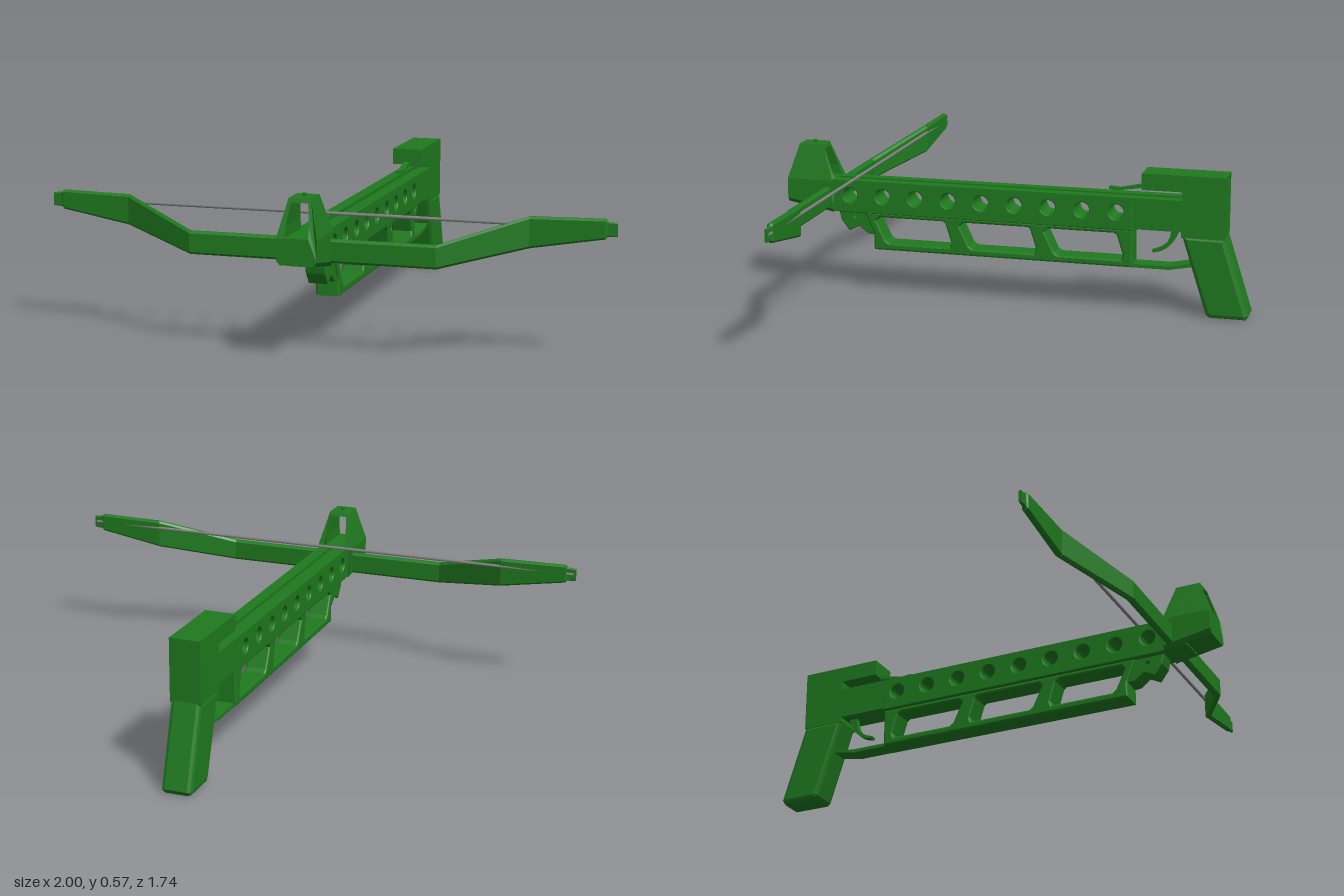
import * as THREE from 'three';

const green = new THREE.MeshStandardMaterial({ color: 0x1f7a1f, flatShading: true, side: THREE.DoubleSide });
const grey = new THREE.MeshStandardMaterial({ color: 0x808080 });

const toShape = (pts) => new THREE.Shape(pts.map(([a, b]) => new THREE.Vector2(a, b)));

// Side profile in (z, y), extruded across x and centred on x = offset
function sideGeo(shape, width, bevel = 0, offset = 0) {
  const g = new THREE.ExtrudeGeometry(shape, {
    depth: width - 2 * bevel, bevelEnabled: bevel > 0, bevelThickness: bevel,
    bevelSize: bevel, bevelOffset: -bevel, bevelSegments: 2, curveSegments: 12,
  });
  g.translate(0, 0, -(width - 2 * bevel) / 2);
  g.rotateY(-Math.PI / 2);
  return g.translate(offset, 0, 0);
}

export function createModel() {
  const model = new THREE.Group();
  const add = (name, geo, mat = green) => {
    const mesh = new THREE.Mesh(geo, mat);
    mesh.name = name;
    model.add(mesh);
    return mesh;
  };
  const side = (name, pts, width, bevel, offset) => add(name, sideGeo(toShape(pts), width, bevel, offset));

  // Upper beam with a row of round lightening holes
  const beam = toShape([[0.78, 0.32], [0.78, 0.42], [-0.44, 0.42], [-0.44, 0.31], [0.66, 0.31]]);
  for (let i = 0; i < 9; i++) {
    const hole = new THREE.Path();
    hole.absarc(0.632 - i * 0.1265, 0.377, 0.028, 0, Math.PI * 2, true);
    beam.holes.push(hole);
  }
  add('upperBeam', sideGeo(beam, 0.11, 0.004));

  // Twin rails leaving the bolt groove between them
  for (const s of [-1, 1]) {
    side('grooveRail', [[0.78, 0.415], [0.78, 0.433], [-0.62, 0.433], [-0.62, 0.415]], 0.043, 0, s * 0.0335);
  }

  // Lower frame with slanted windows
  const frame = toShape([[0.545, 0.17], [0.545, 0.232], [0.58, 0.312], [-0.44, 0.312], [-0.44, 0.17]]);
  for (let i = 0; i < 3; i++) {
    const z = 0.535 - i * 0.324;
    frame.holes.push(new THREE.Path([
      [z, 0.282], [z - 0.012, 0.295], [z - 0.258, 0.295], [z - 0.268, 0.288], [z - 0.291, 0.215],
      [z - 0.285, 0.197], [z - 0.05, 0.197], [z - 0.035, 0.208],
    ].map(([a, b]) => new THREE.Vector2(a, b))));
  }
  add('lowerFrame', sideGeo(frame, 0.085, 0.007));

  // Pivot bracket under the beam nose
  const bracket = toShape([[0.685, 0.315], [0.675, 0.275], [0.645, 0.235], [0.605, 0.255],
    [0.57, 0.228], [0.54, 0.225], [0.54, 0.315]]);
  const pin = new THREE.Path();
  pin.absarc(0.622, 0.29, 0.012, 0, Math.PI * 2, true);
  bracket.holes.push(pin);
  add('frontBracket', sideGeo(bracket, 0.07, 0.004));

  // Receiver, rear housing with overhanging top, and latch
  side('receiver', [[-0.44, 0.318], [-0.44, 0.42], [-0.63, 0.42], [-0.63, 0.318]], 0.108);
  side('rearHousing', [[-0.473, 0.465], [-0.473, 0.525], [-0.777, 0.525], [-0.777, 0.298],
    [-0.62, 0.298], [-0.62, 0.465]], 0.112);
  side('latch', [[-0.345, 0.46], [-0.345, 0.451], [-0.385, 0.449], [-0.48, 0.464], [-0.5, 0.475],
    [-0.47, 0.475], [-0.385, 0.457]], 0.024);

  // Raked grip
  side('grip', [[-0.62, 0.305], [-0.777, 0.305], [-0.868, 0.02], [-0.858, 0.004],
    [-0.725, 0.004], [-0.712, 0.016]], 0.112, 0.016);

  // Curved trigger and guard strip
  const trigger = new THREE.Shape();
  trigger.moveTo(-0.575, 0.325);
  trigger.quadraticCurveTo(-0.58, 0.25, -0.507, 0.234);
  trigger.lineTo(-0.51, 0.225);
  trigger.quadraticCurveTo(-0.585, 0.235, -0.607, 0.325);
  add('trigger', sideGeo(trigger, 0.026));
  side('triggerGuard', [[-0.43, 0.17], [-0.575, 0.17], [-0.675, 0.19], [-0.675, 0.204],
    [-0.575, 0.182], [-0.43, 0.182]], 0.07);

  // Front head: open gate profile, tapered front and back by height
  const gate = toShape([[-0.058, 0.32], [0.058, 0.32], [0.07, 0.335], [0.07, 0.43], [0.06, 0.47],
    [0.038, 0.56], [-0.038, 0.56], [-0.06, 0.47], [-0.07, 0.43], [-0.07, 0.335]]);
  gate.holes.push(new THREE.Path([[-0.04, 0.433], [-0.04, 0.47], [-0.03, 0.545], [0.03, 0.545],
    [0.04, 0.47], [0.04, 0.433]].map(([a, b]) => new THREE.Vector2(a, b))));
  const head = new THREE.ExtrudeGeometry(gate, { depth: 1, bevelEnabled: false });
  const p = head.attributes.position;
  for (let i = 0; i < p.count; i++) {
    const y = p.getY(i), front = p.getZ(i) > 0.5;
    const t = Math.max(0, (y - 0.43) / 0.13);
    p.setZ(i, front ? 0.872 - 0.04 * t : 0.695 + 0.047 * t);
    if (y < 0.4) p.setY(i, y + (front ? 0.022 : -0.01));
  }
  head.computeVertexNormals();
  add('frontHead', head);
  add('sightPost', new THREE.BoxGeometry(0.012, 0.02, 0.014)).position.set(0, 0.56, 0.785);

  // Recurved bow: chamfered cross-sections [x, low, high, z, half thickness]
  const half = [[0.43, 0.327, 0.407, 0.717, 0.013], [0.71, 0.387, 0.493, 0.582, 0.012],
    [0.96, 0.43, 0.497, 0.578, 0.011], [0.965, 0.438, 0.489, 0.578, 0.006], [0.998, 0.44, 0.486, 0.578, 0.005]];
  const sections = [...half.map(([x, ...r]) => [-x, ...r]).reverse(), ...half];
  const verts = [], index = [];
  sections.forEach(([x, lo, hi, z, h], s) => {
    const c = h * 0.6;
    const ring = [[lo, -h + c], [lo + c, -h], [hi - c, -h], [hi, -h + c],
      [hi, h - c], [hi - c, h], [lo + c, h], [lo, h - c]];
    ring.forEach(([y, dz]) => verts.push(x, y, z + dz));
    if (s > 0) {
      for (let k = 0; k < 8; k++) {
        const a = (s - 1) * 8 + k, b = (s - 1) * 8 + (k + 1) % 8;
        index.push(a, b, a + 8, b, b + 8, a + 8);
      }
    }
  });
  const last = (sections.length - 1) * 8;
  for (let k = 1; k < 7; k++) index.push(0, k + 1, k, last, last + k, last + k + 1);
  const bow = new THREE.BufferGeometry();
  bow.setAttribute('position', new THREE.Float32BufferAttribute(verts, 3));
  bow.setIndex(index);
  bow.computeVertexNormals();
  add('bowLimbs', bow);

  // Bowstring, with short loops around the tips
  const string = new THREE.CylinderGeometry(0.006, 0.006, 1.98, 8).rotateZ(Math.PI / 2);
  add('bowstring', string, grey).position.set(0, 0.465, 0.574);

  return model;
}
